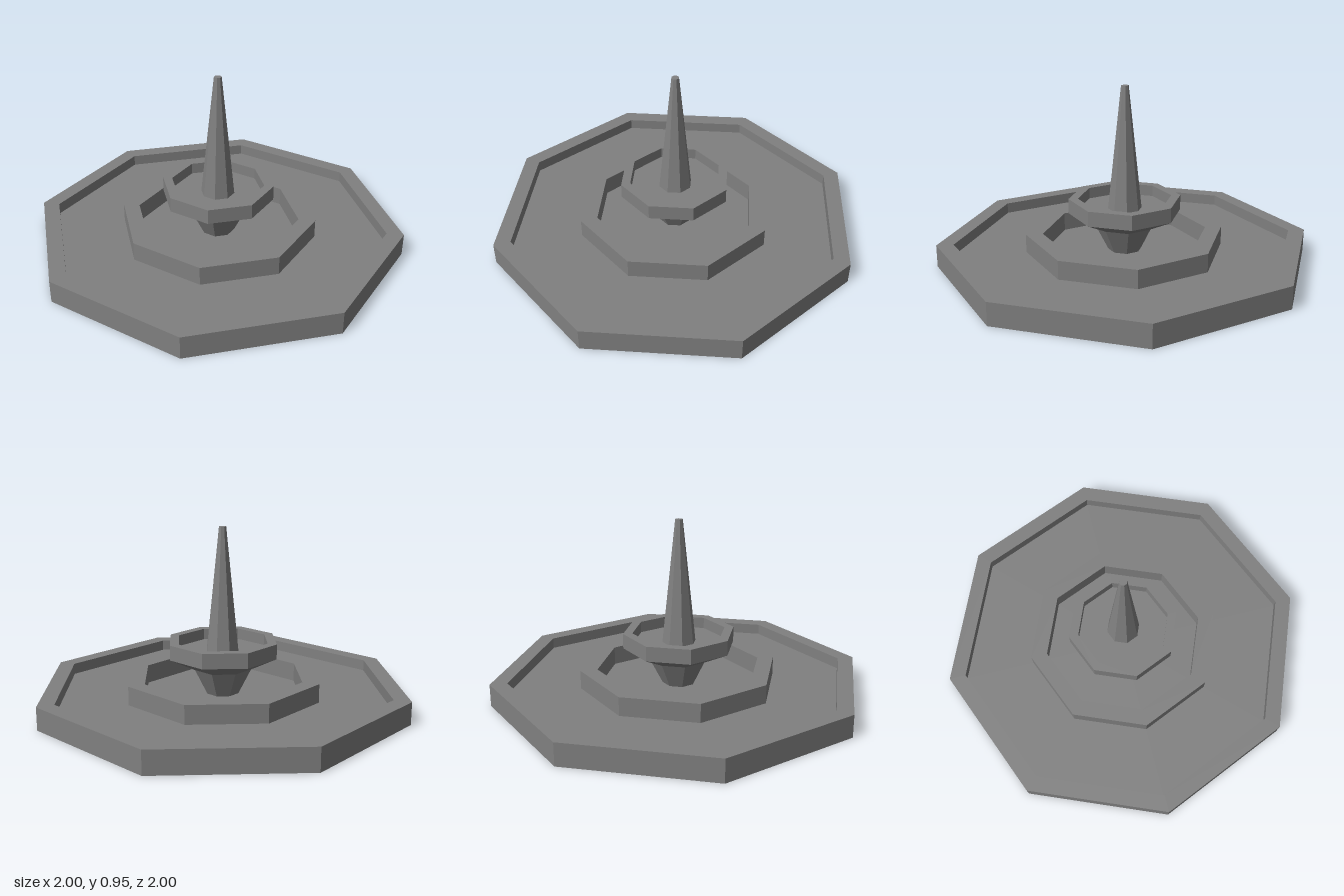
import * as THREE from 'three';

export function createModel() {
  const group = new THREE.Group();
  group.name = 'fountain';
  const material = new THREE.MeshStandardMaterial({
    color: 0x808080, flatShading: true, side: THREE.DoubleSide,
  });

  // Eight-sided turned part from [radius, height] pairs, outside first, bottom to top
  const addTurned = (name, profile) => {
    const points = profile.map(([r, y]) => new THREE.Vector2(r, y));
    const mesh = new THREE.Mesh(new THREE.LatheGeometry(points, 8), material);
    mesh.name = name;
    group.add(mesh);
  };

  // Wide outer basin with a raised rim and sunken floor
  addTurned('outerBasin', [[0, 0], [1, 0], [1, 0.12], [0.91, 0.12], [0.91, 0.06], [0, 0.06]]);

  // Raised ring standing on the basin floor
  addTurned('innerRing', [[0.53, 0.06], [0.53, 0.16], [0.44, 0.16], [0.44, 0.06]]);

  // Flared foot under the upper bowl
  addTurned('pedestal', [[0.09, 0.06], [0.16, 0.2]]);

  // Upper bowl with sloping underside and sunken floor
  addTurned('upperBowl', [[0.16, 0.2], [0.3, 0.27], [0.3, 0.35], [0.25, 0.35], [0.25, 0.29], [0, 0.29]]);

  // Tapered central spire
  addTurned('spire', [[0.09, 0.29], [0.02, 0.95], [0, 0.95]]);

  return group;
}
